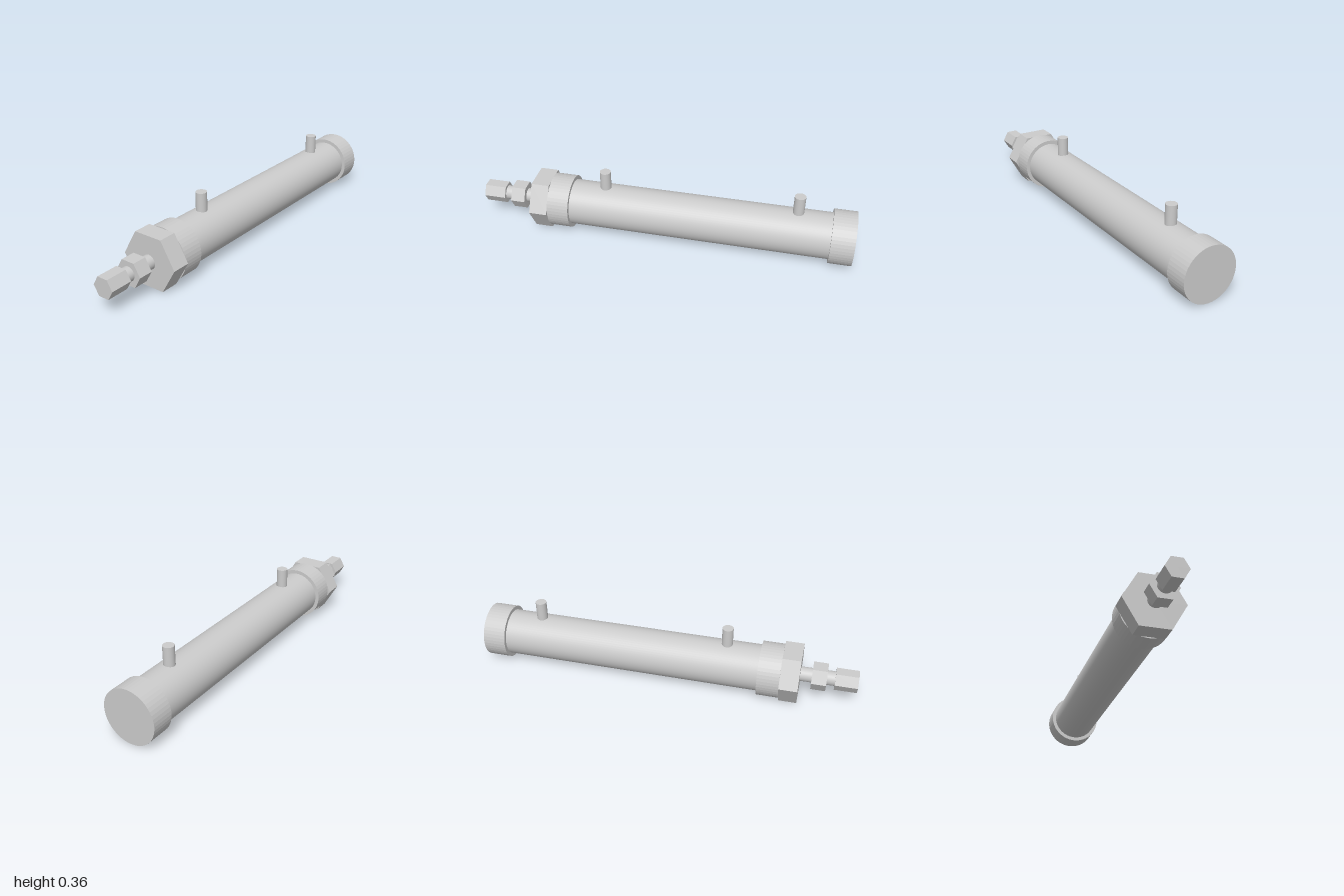
import * as THREE from 'three';

const AXIS_Y = 0.143;

export function createModel() {
  const model = new THREE.Group();
  model.name = 'pneumaticCylinder';
  const smooth = new THREE.MeshStandardMaterial({ color: 0xcccccc });
  const faceted = new THREE.MeshStandardMaterial({ color: 0xcccccc, flatShading: true });

  // Solid of revolution or prism lying along x, from x0 to x1
  function barrel(name, x0, x1, radius, sides, material) {
    const geometry = new THREE.CylinderGeometry(radius, radius, x1 - x0, sides);
    geometry.rotateZ(-Math.PI / 2);
    const mesh = new THREE.Mesh(geometry, material);
    mesh.name = name;
    mesh.position.set((x0 + x1) / 2, AXIS_Y, 0);
    model.add(mesh);
  }

  // Hexagonal nut with flats on top and bottom, sized by half its width across flats
  const hexNut = (name, x0, x1, halfFlats) =>
    barrel(name, x0, x1, halfFlats / Math.cos(Math.PI / 6), 6, faceted);

  // Main tube and its end caps
  barrel('tube', -0.55, 0.94, 0.122, 64, smooth);
  barrel('frontCap', -0.61, -0.495, 0.142, 48, faceted);
  barrel('rearCap', 0.88, 1, 0.142, 48, faceted);

  // Mounting nut, piston rod, lock nut and rod end
  hexNut('mountingNut', -0.706, -0.61, 0.136);
  barrel('pistonRod', -0.94, -0.66, 0.038, 32, smooth);
  hexNut('lockNut', -0.842, -0.766, 0.063);
  hexNut('rodEnd', -1, -0.884, 0.05);

  // Air ports standing on the tube
  for (const [name, x] of [['frontPort', -0.316], ['rearPort', 0.703]]) {
    const bottom = 0.23, top = 0.363;
    const port = new THREE.Mesh(new THREE.CylinderGeometry(0.029, 0.029, top - bottom, 24), smooth);
    port.name = name;
    port.position.set(x, (bottom + top) / 2, 0);
    model.add(port);
  }

  return model;
}
